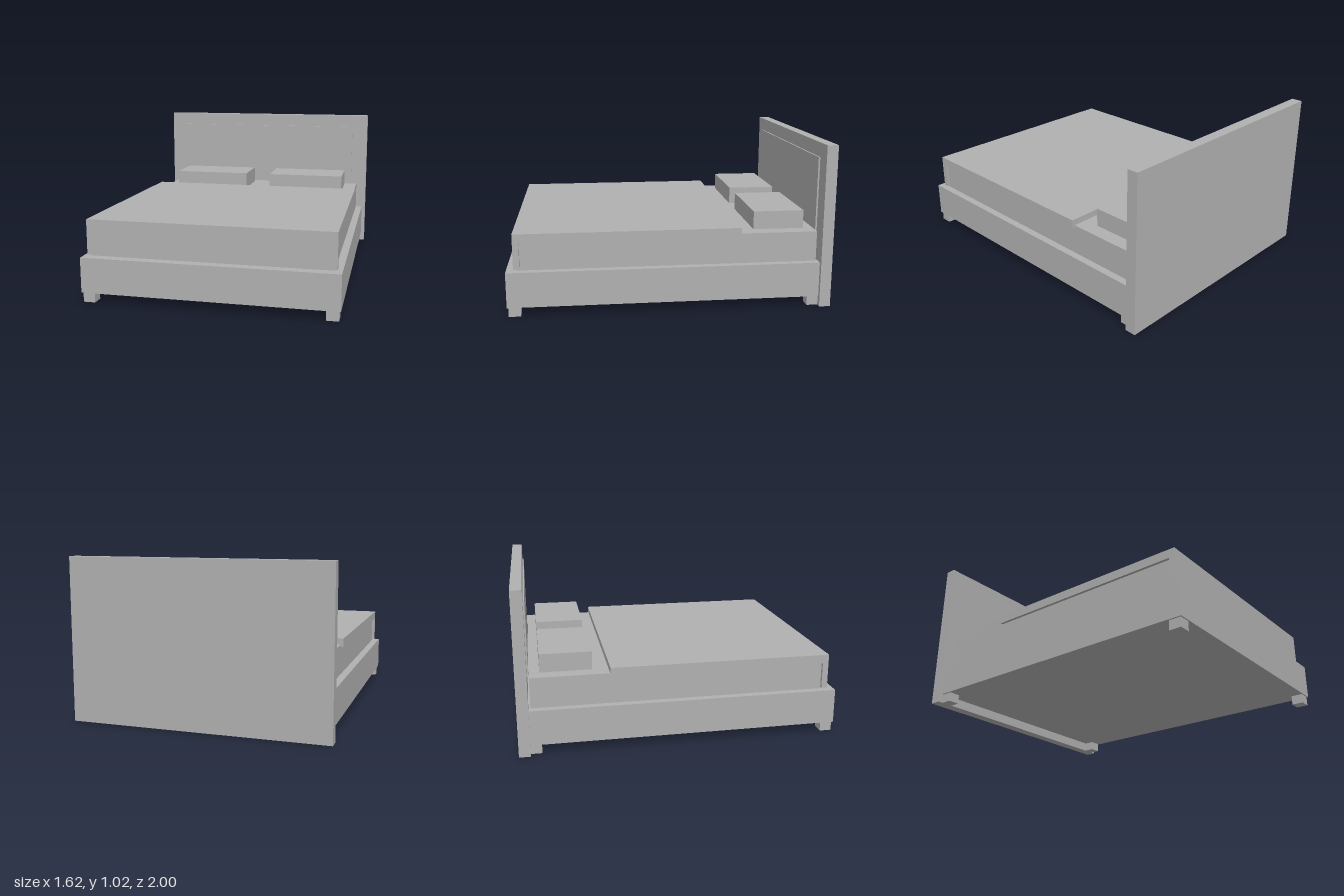
import * as THREE from 'three';

export function createModel() {
  const group = new THREE.Group();
  group.name = 'bed';
  const grey = new THREE.MeshStandardMaterial({ name: 'plain grey', color: 0xb0b0b0 });

  // Box given by its extents along each axis
  function box(name, [x0, x1], [y0, y1], [z0, z1]) {
    const mesh = new THREE.Mesh(new THREE.BoxGeometry(x1 - x0, y1 - y0, z1 - z0), grey);
    mesh.position.set((x0 + x1) / 2, (y0 + y1) / 2, (z0 + z1) / 2);
    mesh.name = name;
    group.add(mesh);
  }

  // Headboard with a slightly raised panel
  box('headboard', [-0.8125, 0.8125], [0, 1.02], [-1, -0.93]);
  box('headboardPanel', [-0.695, 0.695], [0.465, 0.93], [-0.93, -0.92]);

  // Base and mattress
  box('bedFrame', [-0.787, 0.787], [0.06, 0.28], [-0.93, 1]);
  box('mattress', [-0.74, 0.74], [0.28, 0.47], [-0.918, 0.935]);

  // Blanket: top sheet plus the drop over the foot end
  box('blanketTop', [-0.758, 0.758], [0.455, 0.51], [-0.435, 0.955]);
  box('blanketDrop', [-0.758, 0.758], [0.29, 0.455], [0.917, 0.955]);

  // Mirrored pillows and feet
  for (const side of [1, -1]) {
    const span = (a, b) => (side > 0 ? [a, b] : [-b, -a]);
    const label = side > 0 ? 'left' : 'right';
    box(label + 'Pillow', span(0.0925, 0.6475), [0.47, 0.585], [-0.855, -0.535]);
    box(label + 'FrontFoot', span(0.703, 0.777), [0, 0.06], [0.917, 0.992]);
    box(label + 'BackFoot', span(0.703, 0.777), [0, 0.06], [-0.935, -0.86]);
  }

  return group;
}
